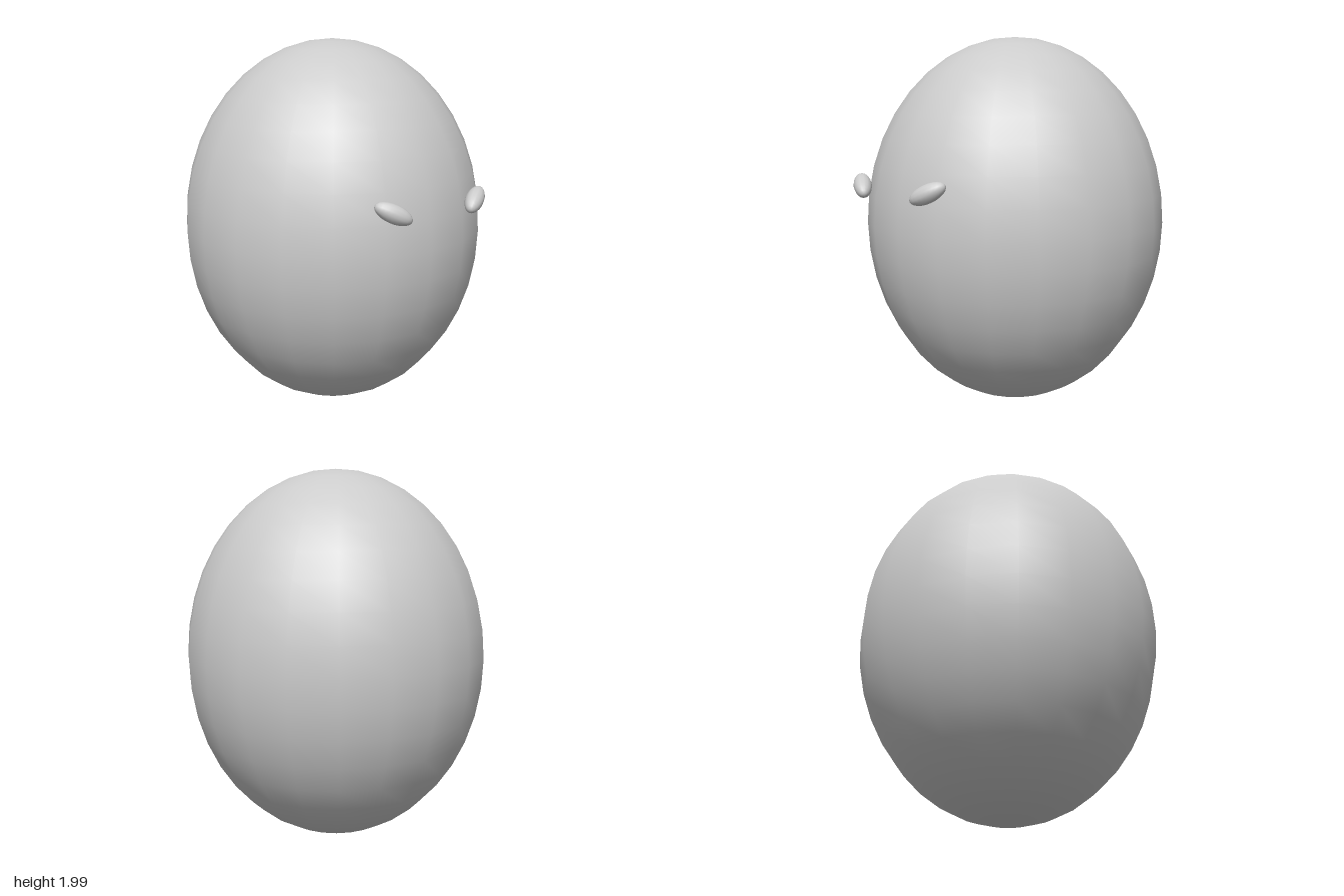
import * as THREE from 'three';

export function createModel() {
  const model = new THREE.Group();
  const material = new THREE.MeshStandardMaterial({ color: 0xcccccc });

  // Egg-shaped head, a tall ellipsoid
  const head = new THREE.Mesh(new THREE.SphereGeometry(0.81, 20, 20), material);
  head.name = 'head';
  head.scale.y = 0.995 / 0.81;
  head.position.set(0, 1.005, -0.04);
  model.add(head);

  // Slanted eyes, mirrored, each pointing outward, up and back
  const eyeGeometry = new THREE.SphereGeometry(1, 14, 12);
  const up = new THREE.Vector3(0, 1, 0);
  for (const side of [1, -1]) {
    const eye = new THREE.Mesh(eyeGeometry, material);
    eye.name = side > 0 ? 'leftEye' : 'rightEye';
    eye.scale.set(0.046, 0.098, 0.046);
    eye.position.set(side * 0.264, 1.233, 0.788);
    const axis = new THREE.Vector3(side * 0.787, 0.42, -0.46).normalize();
    eye.quaternion.setFromUnitVectors(up, axis);
    model.add(eye);
  }
  return model;
}
